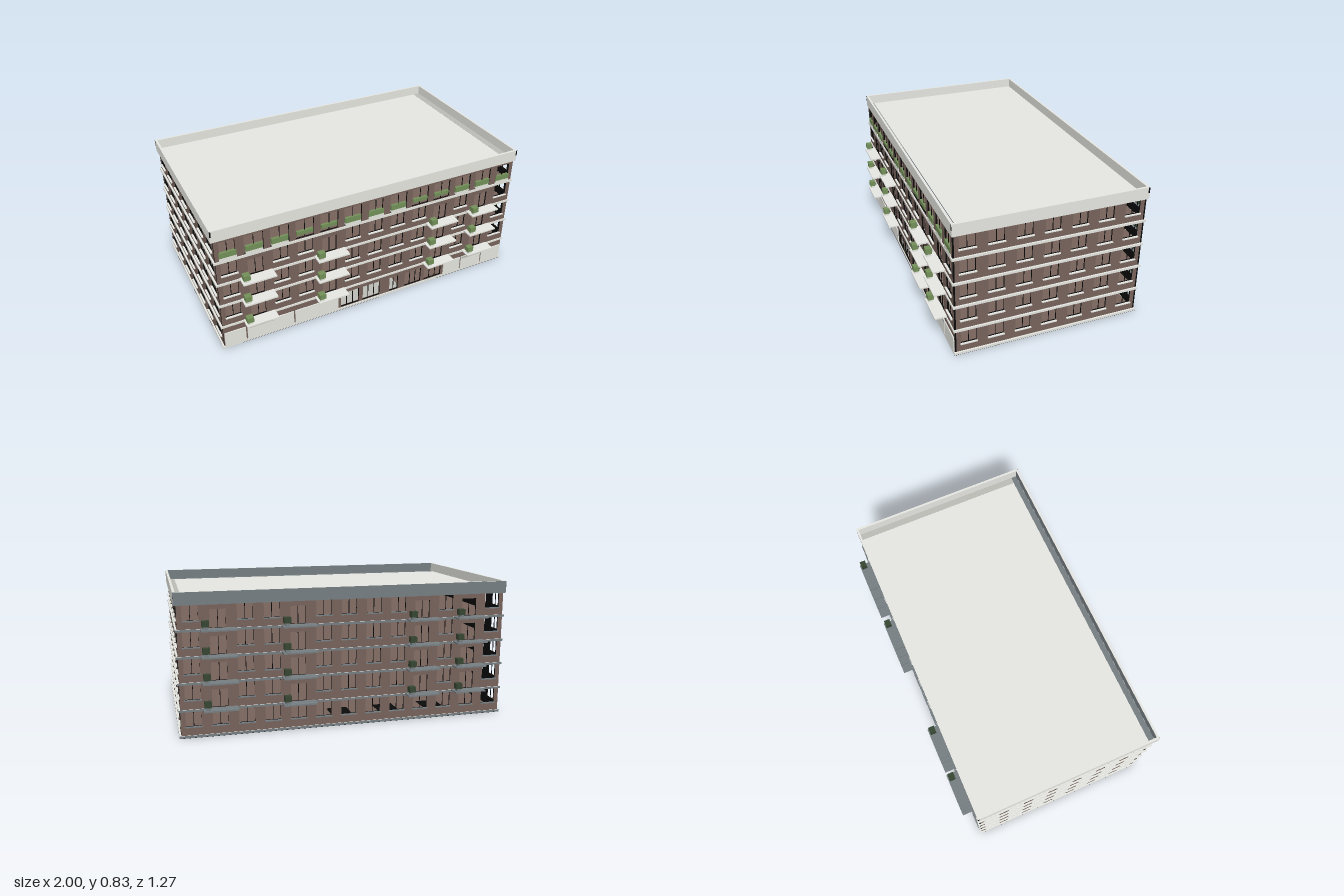
import * as THREE from 'three';

const mat = (name, color) => Object.assign(new THREE.MeshStandardMaterial({ color }), { name });

export function createModel() {
  const brick = mat('brick brown', 0x77635b);
  const stone = mat('pale stone', 0xe6e7e1);
  const worn = mat('worn stone', 0xbcbcb6);
  const slate = mat('slate grey', 0x767e82);
  const black = mat('black lining', 0x0a0a0b);
  const green = mat('leaf green', 0x739059);
  const darkGreen = mat('dark leaf green', 0x364532);

  // Face materials (+x, -x, +y, -y, +z, -z): stone trim is slate towards the back
  const trim = [stone, stone, stone, stone, stone, slate];
  const slab = [stone, stone, stone, black, stone, slate];

  const model = new THREE.Group();
  model.name = 'apartmentBlock';

  // Box given by centre x, bottom y, centre z
  function box(parent, name, material, w, h, d, x, y, z) {
    const mesh = new THREE.Mesh(new THREE.BoxGeometry(w, h, d), material);
    mesh.position.set(x, y + h / 2, z);
    mesh.name = name;
    parent.add(mesh);
  }

  // Storey levels: wall bottom (top of slab) and wall top (underside of next slab)
  const floors = [0.015, 0.168, 0.325, 0.475, 0.627];
  const tops = [0.155, 0.311, 0.461, 0.613, 0.762];

  // Pierced wall: brick outer face over a black lining that also shows in the reveals
  function wall(parent, name, width, y0, y1, holes) {
    const shape = new THREE.Shape();
    const w = width / 2;
    shape.moveTo(-w, y0).lineTo(w, y0).lineTo(w, y1).lineTo(-w, y1).closePath();
    for (const [x, b, hw, t] of holes) {
      const path = new THREE.Path();
      path.moveTo(x - hw / 2, b).lineTo(x - hw / 2, t).lineTo(x + hw / 2, t).lineTo(x + hw / 2, b).closePath();
      shape.holes.push(path);
    }
    const face = new THREE.Mesh(new THREE.ShapeGeometry(shape), brick);
    face.name = name;
    const lining = new THREE.Mesh(
      new THREE.ExtrudeGeometry(shape, { depth: 0.009, bevelEnabled: false }), black);
    lining.position.z = -0.01;
    lining.name = name + 'Lining';
    parent.add(face, lining);
  }

  // Window: sill and a slim mullion
  function windowTrim(parent, sill, x, b, t) {
    box(parent, 'windowSill', sill, 0.1, 0.006, 0.012, x, b - 0.006, 0.004);
    box(parent, 'windowMullion', black, 0.003, t - b, 0.004, x, b, -0.006);
  }

  // Balcony with slab and a potted shrub
  function balcony(parent, stoneMat, leafMat, x, y) {
    const g = new THREE.Group();
    g.name = 'balcony';
    g.position.set(x, y, 0);
    box(g, 'balconySlab', stoneMat, 0.198, 0.009, 0.072, 0, -0.006, 0.035);
    box(g, 'plantPot', stoneMat, 0.026, 0.018, 0.026, -0.073, 0.003, 0.046);
    box(g, 'shrub', leafMat, 0.04, 0.034, 0.036, -0.073, 0.019, 0.046);
    parent.add(g);
  }

  function facade(name, angle, distance) {
    const g = new THREE.Group();
    g.name = name;
    g.rotation.y = angle;
    g.position.set(Math.sin(angle) * distance, 0, Math.cos(angle) * distance);
    model.add(g);
    return g;
  }

  // One regular storey of windows with optional balcony doors
  function storey(parent, s, width, count, pitch, doors, stoneMat, leafMat) {
    const holes = [];
    for (let i = -count; i <= count; i++) {
      const x = i * pitch;
      const isDoor = doors.includes(i);
      const b = isDoor ? floors[s] + 0.004 : tops[s] - 0.087;
      const t = isDoor ? floors[s] + 0.108 : tops[s] - 0.001;
      holes.push([x, b, 0.09, t]);
      if (isDoor) {
        box(parent, 'doorMullion', black, 0.003, t - b, 0.004, x, b, -0.006);
        balcony(parent, stoneMat, leafMat, x, floors[s]);
      } else windowTrim(parent, stoneMat, x, b, t);
    }
    wall(parent, 'brickWall', width, floors[s] - 0.005, tops[s] + 0.005, holes);
  }

  // Side facades
  for (const [name, angle] of [['leftFacade', Math.PI / 2], ['rightFacade', -Math.PI / 2]]) {
    const g = facade(name, angle, 0.985);
    for (let s = 0; s < 5; s++) storey(g, s, 1.11, 3, 0.161, [], stone, green);
  }

  // Back facade, balconies on the four upper storeys
  const doors = [-5, -2, 3, 5];
  const back = facade('backFacade', Math.PI, 0.565);
  for (let s = 0; s < 5; s++) storey(back, s, 1.97, 6, 0.152, s ? doors : [], slate, darkGreen);

  // Front facade, middle storeys
  const front = facade('frontFacade', 0, 0.565);
  for (let s = 1; s < 4; s++) storey(front, s, 1.97, 6, 0.152, doors, stone, green);

  // Front top storey: tall openings with hedges, most of them on planters
  const loggias = [];
  for (let i = -6; i <= 6; i++) {
    const x = i * 0.152;
    const open = Math.abs(i) === 2 || Math.abs(i) === 3;
    loggias.push([x, 0.632, i % 6 === 0 ? 0.09 : 0.112, 0.748]);
    box(front, 'loggiaMullion', black, 0.003, 0.116, 0.004, x, 0.632, -0.006);
    if (!open) box(front, 'planter', stone, 0.1, 0.018, 0.018, x, 0.627, -0.004);
    box(front, 'hedge', green, 0.1, open ? 0.024 : 0.034, 0.016, x, open ? 0.655 : 0.645, -0.004);
  }
  wall(front, 'topFrontWall', 1.97, 0.622, 0.767, loggias);

  // Front ground storey: entrances in the middle
  const entries = [[-0.164, 0.125], [-0.013, 0.12], [0.15, 0.062], [0.293, 0.12], [0.444, 0.128]];
  wall(front, 'groundFrontWall', 1.97, 0.01, 0.16, entries.map(([x, w]) => [x, 0.02, w, 0.125]));
  for (const [x, w] of entries) {
    for (const k of w > 0.1 ? [-0.17, 0.17] : [0])
      box(front, 'entranceMullion', black, 0.003, 0.105, 0.004, x + k * w, 0.02, -0.006);
  }

  // Pale ground panels to both sides, worn under the outer balconies
  for (const edges of [[-0.985, -0.845, -0.54, -0.242], [0.522, 0.66, 0.825, 0.985]]) {
    for (let i = 0; i < 3; i++) {
      const [a, b] = [edges[i], edges[i + 1]];
      box(front, 'groundPanel', stone, b - a - 0.01, 0.1, 0.008, (a + b) / 2, 0.012, 0.002);
    }
  }
  for (const x of [-0.75, 0.742])
    box(front, 'wornPatch', worn, 0.15, 0.016, 0.001, x, 0.096, 0.0065);

  // Base and floor slabs, showing as bands outside and brown floors inside
  box(model, 'baseSlab', trim, 1.99, 0.014, 1.14, 0, 0.001, 0);
  box(model, 'baseUnderside', black, 1.99, 0.001, 1.14, 0, 0, 0);
  for (let s = 0; s < 5; s++) {
    if (s) box(model, 'floorBand', slab, 1.99, floors[s] - tops[s - 1], 1.142, 0, tops[s - 1], 0);
    box(model, 'floorCovering', brick, 1.945, 0.002, 1.105, 0, floors[s], 0);
  }

  // Lobby floor by the entrances and dark mats inside the back windows
  box(model, 'lobbyFloor', worn, 0.44, 0.002, 0.25, -0.02, 0.017, 0.425);
  for (const x of [0, -0.304, -0.608])
    box(model, 'darkMat', black, 0.13, 0.002, 0.26, x, 0.017, -0.42);

  // Roof and parapet, with darker strips along the front and left edges
  box(model, 'roofDeck', slab, 1.98, 0.013, 1.13, 0, 0.762, 0);
  box(model, 'frontRoofStrip', slate, 1.972, 0.001, 0.034, 0, 0.7755, 0.538);
  box(model, 'leftRoofStrip', worn, 0.042, 0.001, 1.075, 0.965, 0.7755, -0.018);
  for (const s of [-1, 1]) {
    box(model, 'parapetLong', trim, 2, 0.073, 0.014, 0, 0.762, s * 0.563);
    box(model, 'parapetShort', trim, 0.014, 0.073, 1.112, s * 0.993, 0.762, 0);
    // Black corner joints
    box(model, 'frontCornerJoint', black, 0.008, 0.034, 0.001, s * 0.996, 0.8, 0.5705);
    box(model, 'sideCornerJoint', black, 0.001, 0.034, 0.009, s * 1.0002, 0.8, -0.565);
  }
  return model;
}
